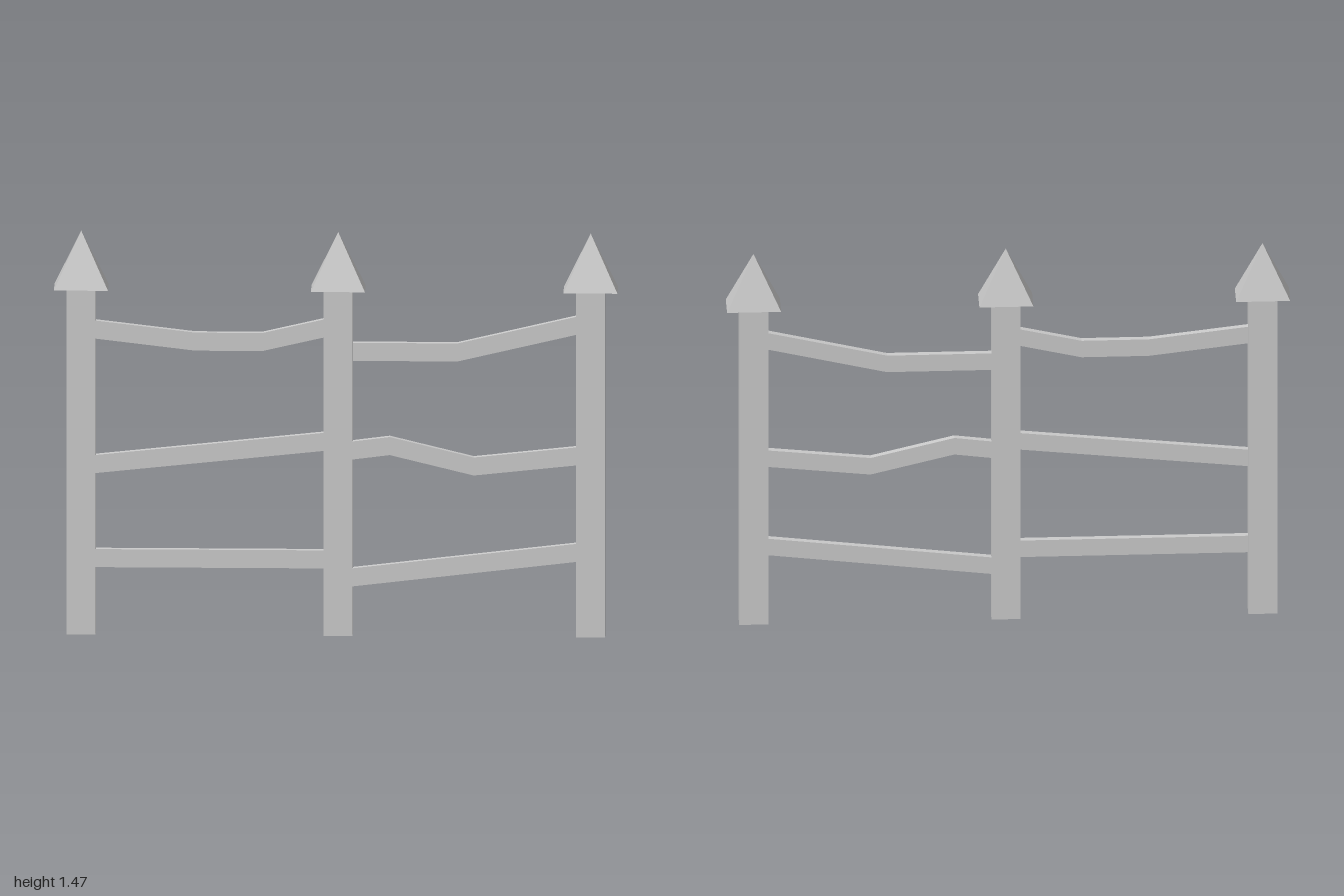
import * as THREE from 'three';

const material = new THREE.MeshStandardMaterial({ color: 0xcccccc, flatShading: true });

function addMesh(parent, geometry, name, x = 0, y = 0, z = 0) {
  const mesh = new THREE.Mesh(geometry, material);
  mesh.name = name;
  mesh.position.set(x, y, z);
  parent.add(mesh);
}

// Four-sided pyramid with a rectangular base
function pyramid(width, height, depth) {
  const geometry = new THREE.ConeGeometry(Math.SQRT1_2, height, 4).toNonIndexed();
  geometry.rotateY(Math.PI / 4);
  geometry.scale(width, 1, depth);
  geometry.computeVertexNormals();
  return geometry;
}

// Flat bar of constant vertical height following a centre line
function bar(points, height, depth) {
  const upper = points.map(([x, y]) => new THREE.Vector2(x, y + height / 2));
  const lower = points.map(([x, y]) => new THREE.Vector2(x, y - height / 2));
  const shape = new THREE.Shape([...lower, ...upper.reverse()]);
  return new THREE.ExtrudeGeometry(shape, { depth, bevelEnabled: false });
}

export function createModel() {
  const fence = new THREE.Group();
  fence.name = 'fence';

  // Posts with pointed caps
  const postHeight = 1.265, capHeight = 0.207;
  [['right', -0.905], ['middle', 0.007], ['left', 0.903]].forEach(([side, x]) => {
    const post = new THREE.Group();
    post.name = `${side}Post`;
    post.position.x = x;
    addMesh(post, new THREE.BoxGeometry(0.103, postHeight, 0.044), 'postShaft', 0, postHeight / 2);
    addMesh(post, pyramid(0.192, capHeight, 0.104), 'postCap', 0, postHeight + capHeight / 2);
    fence.add(post);
  });

  // Warped rails: name, back z, centre line
  const rails = [
    ['rightTopRail', -0.013, [[-0.855, 1.112], [-0.5, 1.07], [-0.262, 1.07], [-0.043, 1.121]]],
    ['rightMiddleRail', -0.013, [[-0.855, 0.62], [-0.043, 0.706]]],
    ['rightBottomRail', -0.013, [[-0.855, 0.276], [-0.043, 0.276]]],
    ['leftTopRail', -0.024, [[0.058, 1.033], [0.43, 1.033], [0.852, 1.133]]],
    ['leftMiddleRail', -0.013, [[0.058, 0.675], [0.19, 0.692], [0.488, 0.619], [0.852, 0.658]]],
    ['leftBottomRail', -0.013, [[0.058, 0.211], [0.852, 0.305]]],
  ];
  for (const [name, z, line] of rails) addMesh(fence, bar(line, 0.066, 0.021), name, 0, 0, z);

  return fence;
}
